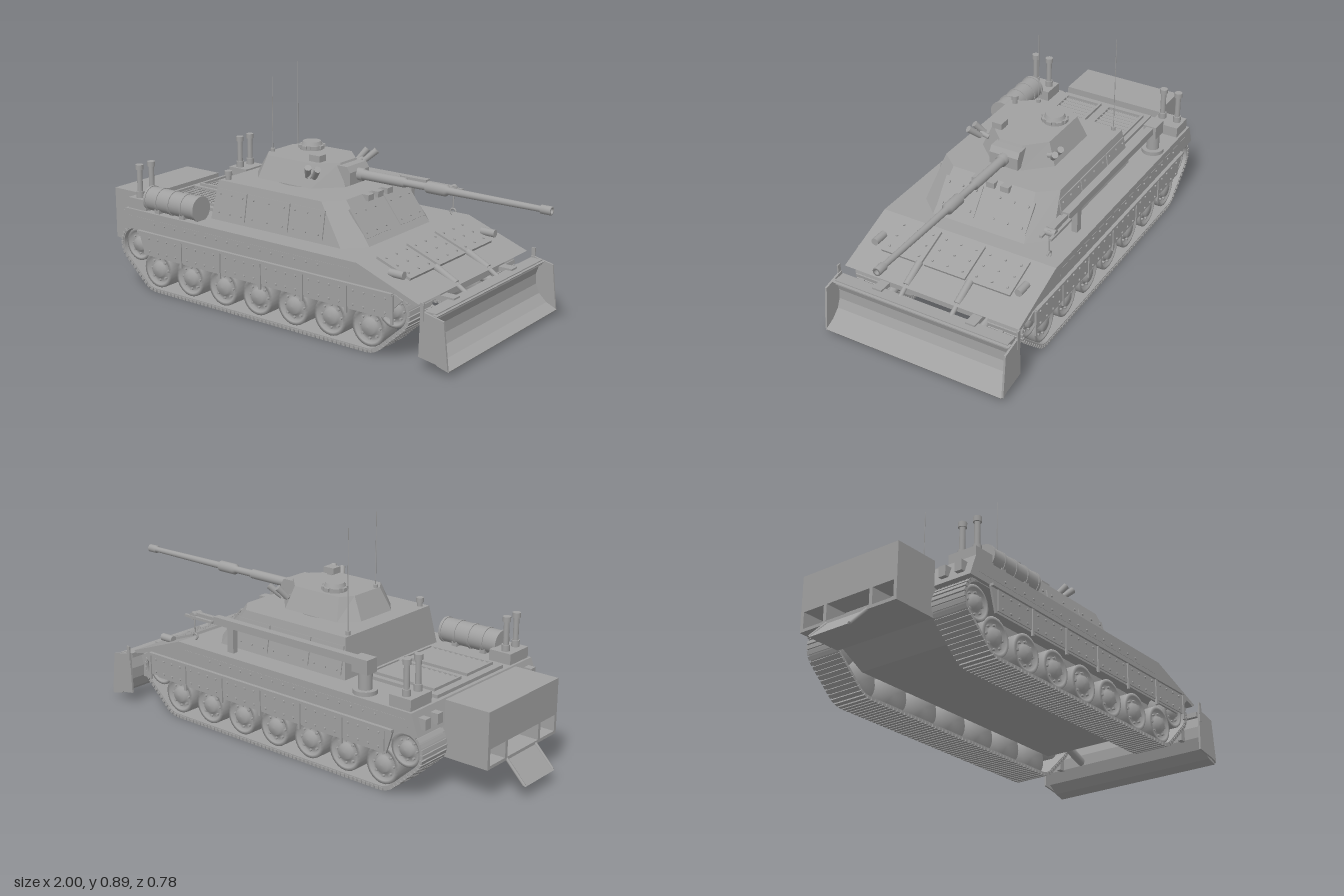
import * as THREE from 'three';
import { mergeGeometries } from 'three/addons/utils/BufferGeometryUtils.js';

const V = (x, y, z) => new THREE.Vector3(x, y, z);
const steel = new THREE.MeshStandardMaterial({ color: 0xa0a0a0 });
steel.name = 'grey steel';

export function createModel() {
  const root = new THREE.Group();
  root.name = 'armouredVehicle';

  const add = (name, geo) => {
    const m = new THREE.Mesh(geo, steel);
    m.name = name;
    root.add(m);
    return m;
  };
  // Box given by its limits on each axis
  const boxGeo = (x0, x1, y0, y1, z0, z1) =>
    new THREE.BoxGeometry(x1 - x0, y1 - y0, z1 - z0).translate((x0 + x1) / 2, (y0 + y1) / 2, (z0 + z1) / 2);
  const box = (name, ...b) => add(name, boxGeo(...b));
  // Round bar between two points
  const rod = (name, a, b, r, r2 = r, n = 16) => {
    const d = b.clone().sub(a);
    const m = add(name, new THREE.CylinderGeometry(r2, r, d.length(), n));
    m.position.copy(a).add(b).multiplyScalar(0.5);
    m.quaternion.setFromUnitVectors(V(0, 1, 0), d.normalize());
    return m;
  };
  // Side profile extruded across z
  const slab = (name, pts, z0, z1) => {
    const s = new THREE.Shape(pts.map(p => new THREE.Vector2(...p)));
    return add(name, new THREE.ExtrudeGeometry(s, { depth: z1 - z0, bevelEnabled: false }).translate(0, 0, z0));
  };
  // Faceted body between two plan outlines [x, z] of equal count
  const loft = (name, low, y0, high, y1) => {
    const pos = [], n = low.length;
    const tri = (...ps) => ps.forEach(p => pos.push(...p));
    const A = low.map(p => [p[0], y0, p[1]]), B = high.map(p => [p[0], y1, p[1]]);
    for (let i = 0; i < n; i++) {
      const j = (i + 1) % n;
      tri(A[i], A[j], B[j], A[i], B[j], B[i]);
      if (i > 0 && i < n - 1) tri(B[0], B[i], B[i + 1], A[0], A[i + 1], A[i]);
    }
    const g = new THREE.BufferGeometry();
    g.setAttribute('position', new THREE.Float32BufferAttribute(pos, 3));
    g.computeVertexNormals();
    return add(name, g);
  };
  // Outline mirrored across z, running from rear left to front and back
  const mirrored = pts => [...pts, ...[...pts].reverse().map(([x, z]) => [x, -z])];
  // Bolted plate lying on a face given by its right and up directions
  const panel = (name, c, right, up, w, h, cols, rows, t = 0.008) => {
    const parts = [new THREE.BoxGeometry(w, h, t)];
    for (let i = 0; i < cols; i++) for (let j = 0; j < rows; j++) {
      const u = cols > 1 ? i / (cols - 1) - 0.5 : 0, v = rows > 1 ? j / (rows - 1) - 0.5 : 0;
      parts.push(new THREE.CylinderGeometry(0.0045, 0.005, 0.006, 8).rotateX(Math.PI / 2)
        .translate(u * w * 0.74, v * h * 0.66, t / 2 + 0.002));
    }
    const m = add(name, mergeGeometries(parts));
    const r = right.clone().normalize(), n = r.clone().cross(up).normalize();
    m.quaternion.setFromRotationMatrix(new THREE.Matrix4().makeBasis(r, n.clone().cross(r), n));
    m.position.copy(c);
  };

  // Hull
  slab('lowerHull', [[-0.74, 0.15], [-0.62, 0.085], [0.5, 0.085], [0.69, 0.215], [0.66, 0.25], [-0.74, 0.25]], -0.21, 0.21);
  slab('upperHull', [[-0.735, 0.25], [0.6, 0.25], [0.69, 0.225], [0.705, 0.235], [0.44, 0.332], [-0.705, 0.332]], -0.375, 0.375);
  box('rearDeck', -0.69, -0.35, 0.33, 0.345, -0.205, 0.205);
  for (const s of [-1, 1]) {
    const z = s * 0.1;
    for (const e of [-1, 1]) {
      box('grilleRail', -0.66, -0.37, 0.345, 0.356, z + e * 0.078 - 0.005, z + e * 0.078 + 0.005);
      box('grilleEnd', -0.515 + e * 0.14 - 0.005, -0.515 + e * 0.14 + 0.005, 0.345, 0.356, z - 0.078, z + 0.078);
    }
    for (let i = 0; i < 11; i++) {
      const slat = add('grilleSlat', new THREE.BoxGeometry(0.016, 0.004, 0.15));
      slat.position.set(-0.635 + i * 0.024, 0.35, z);
      slat.rotation.z = 0.5;
    }
  }

  // Running gear: sprocket, seven road wheels and idler on each side
  const circles = [[-0.665, 0.178, 0.068], [-0.56, 0.09, 0.074], [0.475, 0.09, 0.074], [0.58, 0.175, 0.065]];
  const beltPath = (path, off) => {
    const n = circles.length;
    const tangent = i => {
      const [ax, ay, ar] = circles[i % n], [bx, by, br] = circles[(i + 1) % n];
      return Math.atan2(by - ay, bx - ax) - Math.acos((ar - br) / Math.hypot(bx - ax, by - ay));
    };
    circles.forEach(([x, y, r], i) => path.absarc(x, y, r + off, tangent(i + n - 1), tangent(i), false));
    return path;
  };
  const belt = beltPath(new THREE.Shape(), 0.01);
  belt.holes.push(beltPath(new THREE.Path(), 0.001));
  const line = beltPath(new THREE.Path(), 0.011).getSpacedPoints(92);
  const wheelPts = [[0, -0.05], [0.073, -0.05], [0.073, 0.025], [0.06, 0.027], [0.055, 0.012], [0.032, 0.018], [0.028, 0.032], [0, 0.034]];
  const wheelGeo = mergeGeometries([
    new THREE.LatheGeometry(wheelPts.map(p => new THREE.Vector2(...p)), 28),
    ...[...Array(8)].map((_, i) => new THREE.CylinderGeometry(0.005, 0.005, 0.012, 8)
      .translate(0.044 * Math.cos(i * Math.PI / 4), 0.018, 0.044 * Math.sin(i * Math.PI / 4)))]);
  for (const s of [-1, 1]) {
    const zc = s * 0.29;
    add('trackBelt', new THREE.ExtrudeGeometry(belt, { depth: 0.14, bevelEnabled: false, curveSegments: 16 })
      .translate(0, 0, zc - 0.07));
    const links = [];
    for (let i = 0; i < 92; i++) {
      const a = line[i], b = line[i + 1];
      links.push(new THREE.BoxGeometry(0.014, 0.011, 0.146)
        .rotateZ(Math.atan2(b.y - a.y, b.x - a.x)).translate((a.x + b.x) / 2, (a.y + b.y) / 2, zc));
    }
    add('trackLinks', mergeGeometries(links));
    const wheels = [-0.665, 0.58, ...[...Array(7)].map((_, i) => -0.56 + i * 0.1725)];
    wheels.forEach((x, i) => {
      const w = add(['driveSprocket', 'idlerWheel'][i] || 'roadWheel', wheelGeo);
      w.position.set(x, i < 2 ? 0.177 : 0.09, zc + s * 0.03);
      w.rotation.x = s * Math.PI / 2;
      if (i < 2) w.scale.set(0.9, 1, 0.9);
    });
    // Side skirts with bolts, straps and top rim
    const right = V(s, 0, 0), up = V(0, 1, 0);
    box('skirtRim', -0.63, 0.6, 0.244, 0.254, s * 0.383 - 0.007, s * 0.383 + 0.007);
    slab('skirt', [[-0.63, 0.25], [-0.6, 0.155], [0.56, 0.155], [0.64, 0.235], [0.61, 0.25]], s * 0.375 - 0.004, s * 0.375 + 0.004);
    for (let i = 0; i < 6; i++) {
      const x = -0.5 + i * 0.2;
      panel('skirtPlate', V(x, 0.203, s * 0.381), right, up, 0.188, 0.08, 4, 2, 0.004);
      box('skirtStrap', x + 0.095, x + 0.105, 0.14, 0.25, s * 0.383 - 0.004, s * 0.383 + 0.004);
    }
    panel('hullSideBolts', V(-0.14, 0.29, s * 0.375), right, up, 1.1, 0.03, 16, 1, 0.002);
    rod('headlight', V(0.54, 0.3, s * 0.31), V(0.6, 0.3, s * 0.31), 0.015);
    rod('towHook', V(0.62, 0.26, s * 0.11), V(0.68, 0.235, s * 0.11), 0.012);

    // Twin posts on the rear corners
    box('postBase', -0.695, -0.6, 0.33, 0.375, s * 0.305 - 0.06, s * 0.305 + 0.06);
    for (const z of [0.272, 0.338]) {
      rod('rearPost', V(-0.655, 0.37, s * z), V(-0.655, 0.49, s * z), 0.011);
      rod('rearPostCap', V(-0.655, 0.49, s * z), V(-0.655, 0.51, s * z), 0.016);
      rod('rearPostCollar', V(-0.655, 0.37, s * z), V(-0.655, 0.4, s * z), 0.016);
    }

    // Superstructure side and front armour plates
    const lean = V(0, 0.155, -s * 0.027);
    for (const [x, w] of [[-0.235, 0.15], [-0.05, 0.2], [0.135, 0.16]])
      panel('sidePlate', V(x, 0.4, s * 0.268), right, lean, w, 0.11, 3, 2);
    panel('frontPlate', V(0.312, 0.405, s * 0.112), V(0, 0, -1), V(-0.12, 0.155, 0), 0.165, 0.125, 3, 2);

    // Smoke dischargers on the turret
    rod('smokeBracket', V(0.07, 0.535, s * 0.13), V(0.07, 0.545, s * 0.17), 0.01);
    for (const k of [0, 1])
      rod('smokeTube', V(0.055 + k * 0.03, 0.54, s * 0.16), V(0.08 + k * 0.045, 0.582, s * 0.19), 0.011, 0.013);
  }

  // Superstructure
  loft('superstructure', mirrored([[-0.33, 0.28], [0.3, 0.28], [0.372, 0.2]]), 0.33,
    mirrored([[-0.31, 0.252], [0.19, 0.252], [0.25, 0.18]]), 0.485);
  for (const z of [-0.062, 0, 0.062]) box('visionBlock', 0.235, 0.28, 0.462, 0.485, z - 0.018, z + 0.018);
  for (const z of [-0.19, 0, 0.19])
    panel('glacisPlate', V(0.53, 0.302, z), V(0, 0, -1), V(-0.265, 0.097, 0), 0.176, 0.155, 3, 3, 0.014);

  // Turret
  rod('turretRing', V(-0.045, 0.48, 0), V(-0.045, 0.5, 0), 0.15, 0.15, 32);
  loft('turret', mirrored([[-0.25, 0.09], [-0.19, 0.16], [0.07, 0.16], [0.16, 0.065]]), 0.493,
    mirrored([[-0.205, 0.075], [-0.17, 0.125], [0.05, 0.125], [0.125, 0.05]]), 0.58);
  rod('cupola', V(-0.1, 0.575, -0.065), V(-0.1, 0.598, -0.065), 0.047, 0.047, 24);
  rod('cupolaLid', V(-0.1, 0.598, -0.065), V(-0.1, 0.612, -0.065), 0.042, 0.036, 24);
  for (let i = 0; i < 8; i++) {
    const a = i * Math.PI / 4;
    const p = add('periscope', new THREE.BoxGeometry(0.012, 0.012, 0.022));
    p.position.set(-0.1 + 0.047 * Math.cos(a), 0.592, -0.065 + 0.047 * Math.sin(a));
    p.rotation.y = -a;
  }
  box('sightBase', 0.035, 0.06, 0.57, 0.59, 0.075, 0.1);
  box('sight', 0.025, 0.075, 0.585, 0.61, 0.072, 0.114);
  slab('mantlet', [[0.1, 0.502], [0.18, 0.502], [0.18, 0.55], [0.165, 0.572], [0.1, 0.572]], -0.062, 0.062);

  // Gun: sleeve, tube, evacuator and muzzle, in one turned profile
  const gun = [[0.024, 0.17], [0.024, 0.2], [0.019, 0.2], [0.019, 0.39], [0.014, 0.39], [0.014, 0.48], [0.022, 0.49],
    [0.022, 0.57], [0.014, 0.58], [0.011, 0.96], [0.016, 0.96], [0.016, 1], [0.009, 1], [0.009, 0.95], [0, 0.95]];
  add('gunBarrel', new THREE.LatheGeometry(gun.map(p => new THREE.Vector2(...p)), 20).rotateZ(-Math.PI / 2).translate(0, 0.535, 0));

  // Antennas
  rod('antennaBase', V(-0.195, 0.57, 0.062), V(-0.195, 0.592, 0.062), 0.009);
  rod('antenna', V(-0.195, 0.59, 0.062), V(-0.195, 0.876, 0.062), 0.0018, 0.0015, 6);
  rod('antennaBase', V(-0.295, 0.48, -0.222), V(-0.295, 0.5, -0.222), 0.009);
  rod('antenna', V(-0.295, 0.5, -0.222), V(-0.295, 0.885, -0.222), 0.0018, 0.0015, 6);
  rod('ventPipe', V(-0.285, 0.48, 0.225), V(-0.285, 0.505, 0.225), 0.011);
  rod('ventCap', V(-0.285, 0.502, 0.225), V(-0.285, 0.52, 0.225), 0.015);

  // Fuel drum on the left, with hoops and cradles
  rod('fuelDrum', V(-0.605, 0.378, 0.325), V(-0.34, 0.378, 0.325), 0.048, 0.048, 28);
  for (const x of [-0.6, -0.54, -0.475, -0.41, -0.345])
    rod('drumHoop', V(x - 0.005, 0.378, 0.325), V(x + 0.005, 0.378, 0.325), 0.051, 0.051, 28);
  for (const x of [-0.54, -0.41]) box('drumCradle', x - 0.012, x + 0.012, 0.33, 0.35, 0.285, 0.365);

  // Folded crane on the right
  rod('craneBase', V(-0.46, 0.33, -0.322), V(-0.46, 0.348, -0.322), 0.045, 0.045, 24);
  rod('cranePost', V(-0.46, 0.345, -0.322), V(-0.46, 0.43, -0.322), 0.026);
  box('craneHead', -0.49, -0.42, 0.41, 0.465, -0.35, -0.295);
  box('craneBoom', -0.44, 0.28, 0.43, 0.46, -0.338, -0.308);
  box('craneJib', 0.27, 0.4, 0.437, 0.453, -0.332, -0.314);
  for (const z of [-0.343, -0.303]) box('craneTipPlate', 0.28, 0.43, 0.432, 0.442, z - 0.006, z + 0.006);
  rod('cranePulley', V(0.39, 0.44, -0.345), V(0.39, 0.44, -0.301), 0.015);
  rod('craneCable', V(0.4, 0.36, -0.323), V(0.4, 0.44, -0.323), 0.003, 0.003, 8);
  const hook = add('craneHook', new THREE.TorusGeometry(0.012, 0.004, 8, 16, 4.5));
  hook.position.set(0.4, 0.35, -0.323);
  box('craneRest', 0.18, 0.21, 0.33, 0.432, -0.335, -0.311);

  // Rear stowage box with open lower bay and lowered flap
  box('rearBox', -0.92, -0.735, 0.205, 0.345, -0.22, 0.22);
  box('rearBoxFloor', -0.92, -0.735, 0.13, 0.142, -0.22, 0.22);
  box('rearBoxBack', -0.83, -0.735, 0.14, 0.21, -0.21, 0.21);
  for (const z of [-0.213, -0.105, 0.105, 0.213]) box('rearBoxPost', -0.92, -0.735, 0.14, 0.207, z - 0.007, z + 0.007);
  slab('rearFlap', [[-0.92, 0.13], [-0.912, 0.138], [-0.992, 0.055], [-1, 0.05]].reverse(), -0.1, 0.09);
  for (const z of [-0.097, 0.087]) rod('flapEdge', V(-0.915, 0.135, z), V(-0.994, 0.054, z), 0.006, 0.006, 8);

  // Dozer blade, end plates and linkage
  slab('dozerBlade', [[0.84, 0.025], [0.795, 0.045], [0.762, 0.075], [0.747, 0.11], [0.745, 0.15], [0.757, 0.185], [0.785, 0.21],
    [0.765, 0.212], [0.737, 0.19], [0.725, 0.15], [0.727, 0.105], [0.745, 0.06], [0.79, 0.03], [0.835, 0.018]], -0.38, 0.38);
  box('bladeTopRail', 0.725, 0.775, 0.195, 0.215, -0.37, 0.37);
  for (const s of [-1, 1]) {
    slab('bladeEndPlate', [[0.715, 0.05], [0.81, 0.035], [0.835, 0.025], [0.815, 0.2], [0.72, 0.22]], s * 0.383 - 0.004, s * 0.383 + 0.004);
    box('bladeMarker', 0.72, 0.735, 0.17, 0.25, s * 0.386 - 0.003, s * 0.386 + 0.003);
    rod('bladeRamBody', V(0.6, 0.28, s * 0.11), V(0.69, 0.235, s * 0.11), 0.014);
    rod('bladeRam', V(0.68, 0.24, s * 0.11), V(0.745, 0.2, s * 0.11), 0.009);
    rod('pushArm', V(0.6, 0.17, s * 0.2), V(0.735, 0.12, s * 0.2), 0.018, 0.018, 8);
    box('bladeBracket', 0.69, 0.75, 0.205, 0.222, s * 0.2 - 0.02, s * 0.2 + 0.02);
    box('bladeLug', 0.7, 0.74, 0.1, 0.2, s * 0.3 - 0.01, s * 0.3 + 0.01);
  }
  box('linkBeam', 0.655, 0.695, 0.205, 0.235, -0.22, 0.22);

  // Rear deck fittings
  for (const z of [-0.33, -0.26, 0.26, 0.33]) box('rearHinge', -0.745, -0.7, 0.27, 0.31, z - 0.015, z + 0.015);
  return root;
}
